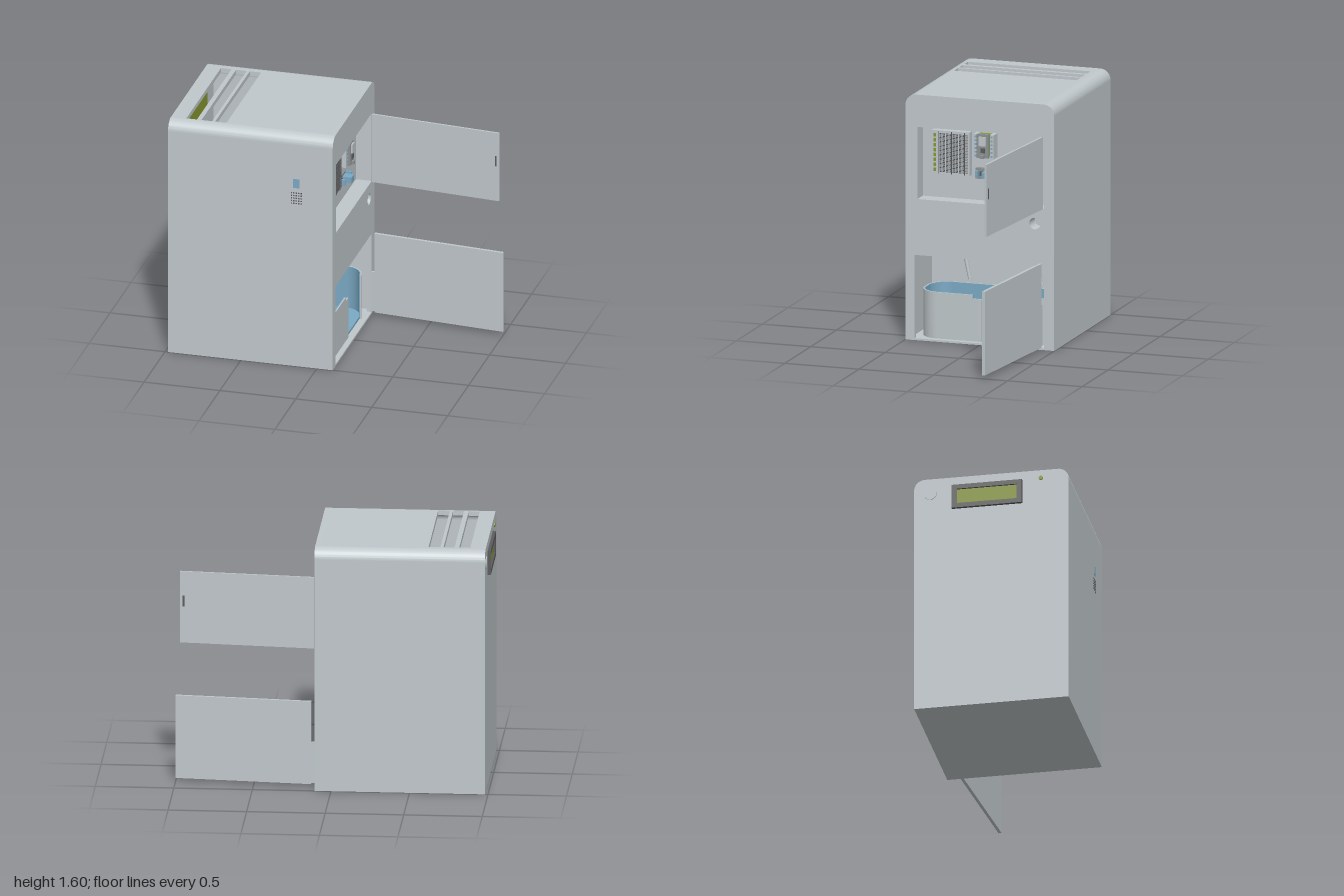
import * as THREE from 'three';
import { mergeGeometries, toCreasedNormals } from 'three/addons/utils/BufferGeometryUtils.js';

const mat = (name, color) => Object.assign(new THREE.MeshStandardMaterial({ color }), { name });
const grey = mat('casing grey', 0xc0c8cb);
const dark = mat('dark grey', 0x5c5c5e);
const mid = mat('board grey', 0x8d9294);
const green = mat('display green', 0x84972d);
const blue = mat('light blue', 0x7ba9c4);

// Body limits
const X0 = -0.98, X1 = 0.105, H = 1.6, D = 0.5, R = 0.07, T = 0.03;

export function createModel() {
  const root = new THREE.Group();
  const add = (name, geo, m, parent = root) => {
    const mesh = new THREE.Mesh(geo, m);
    mesh.name = name;
    parent.add(mesh);
    return mesh;
  };
  // Box given by its limits on each axis
  const boxGeo = (xa, xb, ya, yb, za, zb) => new THREE.BoxGeometry(xb - xa, yb - ya, zb - za)
    .translate((xa + xb) / 2, (ya + yb) / 2, (za + zb) / 2);
  const box = (name, m, ...l) => add(name, boxGeo(...l), m);
  const rect = (P, a, b, c, d) => new P([[a, c], [b, c], [b, d], [a, d]].map(p => new THREE.Vector2(...p)));
  const extrude = (shape, depth) => toCreasedNormals(
    new THREE.ExtrudeGeometry(shape, { depth, bevelEnabled: false, curveSegments: 16 }), 0.5);
  // Shape in (-z, y), extruded along x
  const alongX = (shape, xa, xb) => extrude(shape, xb - xa).rotateY(Math.PI / 2).translate(xa, 0, 0);
  // Shape in (x, -z), extruded along y
  const alongY = (shape, ya, yb) => extrude(shape, yb - ya).rotateX(-Math.PI / 2).translate(0, ya, 0);

  // End panels: rounded top corners, the right one with openings
  const endShape = () => {
    const s = new THREE.Shape();
    s.moveTo(-D, 0);
    s.lineTo(D, 0);
    s.lineTo(D, H - R);
    s.absarc(D - R, H - R, R, 0, Math.PI / 2);
    s.absarc(-D + R, H - R, R, Math.PI / 2, Math.PI);
    s.closePath();
    return s;
  };
  add('leftPanel', alongX(endShape(), X0, X0 + T), grey);
  const face = endShape();
  const port = new THREE.Path();
  port.absarc(0.37, 0.82, 0.038, 0, Math.PI * 2);
  face.holes.push(rect(THREE.Path, -0.42, 0.43, 0.92, 1.39), rect(THREE.Path, -0.44, 0.43, 0.012, 0.555), port);
  add('rightPanel', alongX(face, X1 - T, X1), grey);

  // Casing between the end panels
  const a = X0 + T, b = X1 - T;
  box('frontWall', grey, a, b, 0, H - R, D - T, D);
  box('backWall', grey, a, b, 0, H - R, -D, -D + T);
  box('base', grey, a, b, 0, 0.012, -D + T, D - T);
  for (const s of [1, -1]) {
    const q = new THREE.Shape();
    const c = s * (D - R), t0 = s > 0 ? 0 : Math.PI;
    q.absarc(c, H - R, R, t0, Math.PI / 2, s < 0);
    q.absarc(c, H - R, R - T, Math.PI / 2, t0, s > 0);
    q.closePath();
    add('roundedEdge', alongX(q, a, b), grey);
  }
  const top = rect(THREE.Shape, a, b, -D + R, D - R);
  for (const [xa, xb] of [[-0.88, -0.81], [-0.78, -0.71], [-0.69, -0.615]]) {
    top.holes.push(rect(THREE.Path, xa, xb, -0.425, 0.4));
  }
  add('ventedTop', alongY(top, H - T, H), grey);

  // Upper compartment lining
  box('upperBack', grey, -0.02, 0, 0.9, 1.41, -0.45, 0.44);
  box('upperFloor', grey, 0, b, 0.9, 0.92, -0.45, 0.44);
  box('upperCeiling', grey, 0, b, 1.39, 1.41, -0.45, 0.44);
  box('upperSide', grey, 0, b, 0.92, 1.39, 0.42, 0.44);
  box('upperSide', grey, 0, b, 0.92, 1.39, -0.45, -0.43);

  // Round port behind the right panel
  const sleeve = new THREE.MeshStandardMaterial({ color: grey.color, side: THREE.DoubleSide });
  sleeve.name = 'casing grey two sided';
  add('portSleeve', new THREE.CylinderGeometry(0.038, 0.038, 0.08, 32, 1, true)
    .rotateZ(Math.PI / 2).translate(b - 0.04, 0.82, -0.37), sleeve);
  box('portBack', grey, b - 0.09, b - 0.08, 0.77, 0.87, -0.42, -0.32);

  // Lower compartment with beam and hanging probes
  box('lowerBack', grey, -0.34, -0.32, 0.012, 0.575, -0.47, 0.47);
  box('lowerCeiling', grey, -0.32, b, 0.555, 0.575, -0.47, 0.47);
  box('rearBeam', grey, -0.32, -0.29, 0.46, 0.555, -0.47, 0.47);
  for (const z of [0.235, -0.25]) {
    const probe = new THREE.Group();
    probe.name = 'probe';
    probe.position.set(-0.25, 0.555, z);
    add('probeCap', new THREE.CylinderGeometry(0.04, 0.04, 0.02, 24).rotateZ(Math.PI / 2), grey, probe);
    const rod = add('probeRod', new THREE.CylinderGeometry(0.014, 0.01, 0.22, 12).translate(0, -0.11, 0), grey, probe);
    rod.rotation.x = 0.2;
    root.add(probe);
  }

  // Water tank: rounded walls, with a gap in the front rim
  const track = (off, v0, v1) => {
    const p = new THREE.Path(), r = 0.13 - off;
    const xa = -0.25, xb = 0.07, v = 0.43;
    p.moveTo(xb - off, v1);
    p.absarc(xb - 0.13, v - 0.13, r, 0, Math.PI / 2);
    p.absarc(xa + 0.13, v - 0.13, r, Math.PI / 2, Math.PI);
    p.absarc(xa + 0.13, -v + 0.13, r, Math.PI, Math.PI * 1.5);
    p.absarc(xb - 0.13, -v + 0.13, r, Math.PI * 1.5, Math.PI * 2);
    p.lineTo(xb - off, v0);
    return p.getPoints(12);
  };
  const ring = (o, i, v0, v1, ya, yb) =>
    alongY(new THREE.Shape([...track(o, v0, v1), ...track(i, v0, v1).reverse()]), ya, yb);
  for (const [name, m, o, i] of [['tankWall', grey, 0, 0.008], ['tankLining', blue, 0.008, 0.014]]) {
    add(name, ring(o, i, -0.0001, 0.0001, 0.013, 0.29), m);
    add(name + 'Rim', ring(o, i, -0.06, 0.09, 0.29, 0.315), m);
  }
  add('tankFloor', alongY(new THREE.Shape(track(0.01, 0, 0.001)), 0.014, 0.03), blue);

  // Open doors, hinged at the back edge
  const door = (name, x, z, len, ya, yb, th) => {
    const g = new THREE.Group();
    g.name = name;
    g.position.set(x, 0, z);
    g.rotation.y = -0.091;
    add(name + 'Panel', boxGeo(0, len, ya, yb, -th / 2, th / 2), grey, g);
    root.add(g);
    return g;
  };
  const upper = door('upperDoor', 0.112, -0.42, 0.862, 0.92, 1.39, 0.014);
  add('latch', boxGeo(0.835, 0.845, 1.16, 1.23, -0.009, 0.009), dark, upper);
  const lower = door('lowerDoor', 0.13, -0.415, 0.872, 0.022, 0.568, 0.02);
  add('hingeStrip', boxGeo(-0.02, 0.01, 0.03, 0.3, -0.008, 0.008), grey, lower);

  // Display on the left panel
  const frame = rect(THREE.Shape, -0.2, 0.255, 1.38, 1.54);
  frame.holes.push(rect(THREE.Path, -0.165, 0.22, 1.41, 1.51));
  add('displayFrame', alongX(frame, -1, X0), dark);
  box('displayScreen', green, -0.988, X0, 1.41, 1.51, -0.22, 0.165);
  box('displayBoard', green, X0 + T, X0 + T + 0.02, 1.36, 1.55, -0.26, 0.21);
  const disc = (name, m, r, y, z) => add(name, new THREE.CylinderGeometry(r, r, 0.008, 32)
    .rotateZ(Math.PI / 2).translate(X0 - 0.002, y, z), m);
  disc('pushButton', grey, 0.042, 1.5, -0.395);
  disc('statusLamp', green, 0.014, 1.545, 0.32);

  // Sensor and grille on the front
  box('sensorPlate', blue, -0.157, -0.113, 1.235, 1.297, D, D + 0.003);
  const slots = [];
  for (let i = 0; i < 5; i++) {
    for (let j = 0; j < 5; j++) {
      const x = -0.135 + (i - 2) * 0.016, y = 1.128 + j * 0.018;
      slots.push(boxGeo(x - 0.004, x + 0.004, y - 0.004, y + 0.004, D, D + 0.002));
    }
  }
  add('sensorGrille', mergeGeometries(slots), dark);

  // Breadboard with rows of contacts
  box('breadboard', grey, 0, 0.05, 1.08, 1.365, 0.09, 0.342);
  const pins = [], lamps = [];
  const dots = (list, z0, cols, rows, w, h, pitch) => {
    for (let i = 0; i < cols; i++) {
      for (let j = 0; j < rows; j++) {
        const z = z0 - i * pitch, y = 1.095 + (j + 0.5) * 0.255 / rows;
        list.push(boxGeo(0.05, 0.053, y - h / 2, y + h / 2, z - w / 2, z + w / 2));
      }
    }
  };
  for (const z of [0.287, 0.243, 0.2, 0.156]) dots(pins, z, 5, 30, 0.005, 0.005, 0.0078);
  dots(pins, 0.111, 2, 25, 0.005, 0.006, 0.011);
  dots(lamps, 0.322, 1, 8, 0.018, 0.022, 0);
  add('contacts', mergeGeometries(pins), dark);
  add('railContacts', mergeGeometries(lamps), green);
  for (const z of [0.299, 0.21, 0.122]) box('breadboardGroove', dark, 0.05, 0.052, 1.085, 1.36, z - 0.002, z + 0.002);

  // Controller board on two socket strips
  box('controllerBase', green, 0, 0.03, 1.22, 1.36, -0.05, 0.03);
  for (const z of [0.042, -0.068]) {
    box('socketStrip', grey, 0, 0.07, 1.21, 1.365, z - 0.013, z + 0.013);
    for (let i = 0; i < 6; i++) {
      const y = 1.225 + i * 0.025;
      box('socketPin', blue, 0.07, 0.073, y - 0.006, y + 0.006, z - 0.006, z + 0.006);
    }
  }
  box('controllerBoard', mid, 0.07, 0.09, 1.215, 1.37, -0.052, 0.027);
  box('radioShield', grey, 0.09, 0.1, 1.295, 1.355, -0.036, 0.01);
  box('controllerChip', dark, 0.09, 0.097, 1.25, 1.28, -0.03, 0.0);
  box('cableSocket', mid, 0.09, 0.107, 1.215, 1.235, -0.025, 0.0);

  // Relay module
  box('relayBoard', mid, 0, 0.03, 1.065, 1.135, -0.09, 0.055);
  box('relayBlock', blue, 0.03, 0.09, 1.08, 1.12, -0.065, -0.005);
  box('terminalBlock', blue, 0.03, 0.07, 1.07, 1.13, -0.088, -0.07);
  box('relayHeader', blue, 0.03, 0.06, 1.08, 1.12, 0.032, 0.048);
  box('relayChip', dark, 0.03, 0.036, 1.085, 1.115, 0.005, 0.025);
  return root;
}
